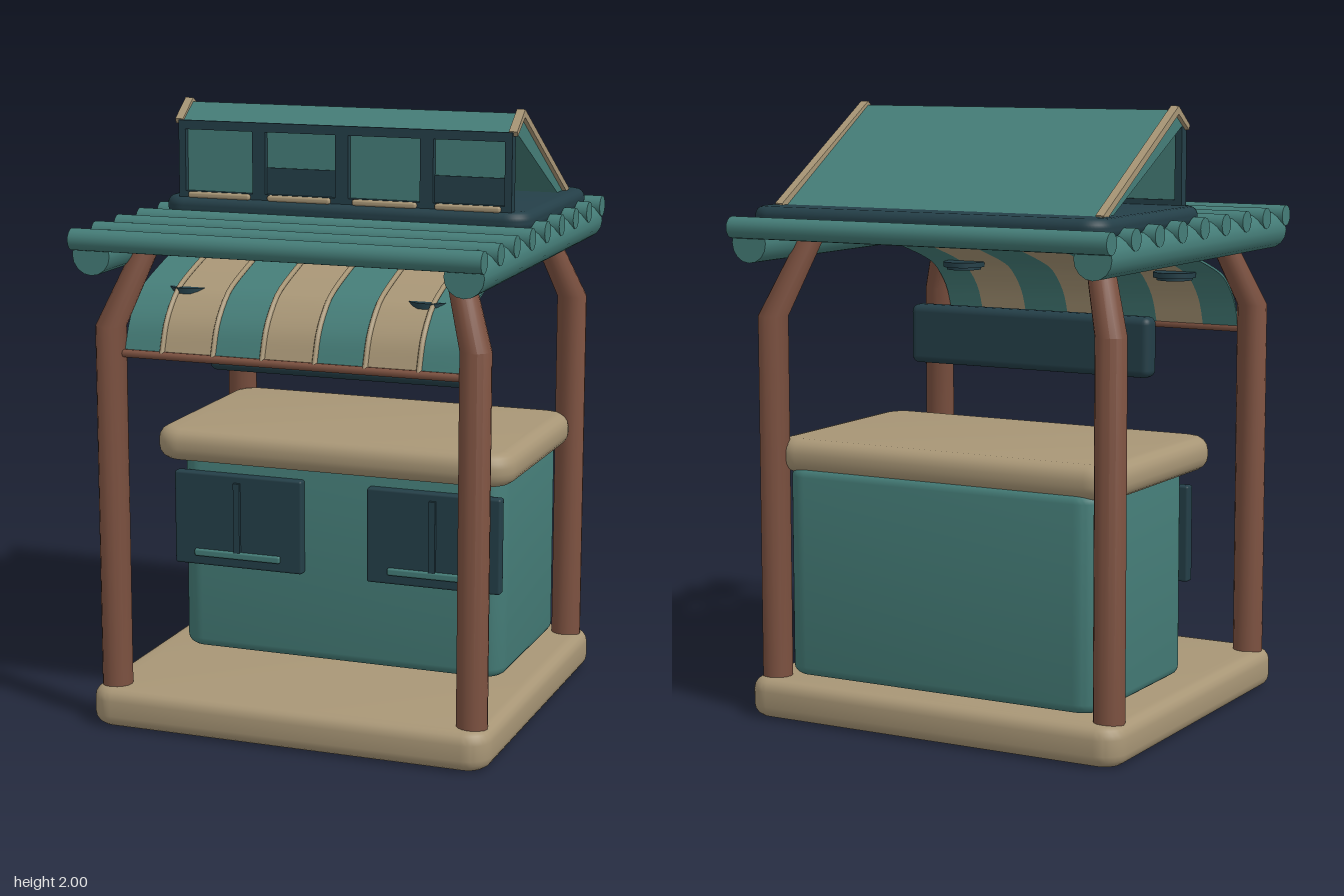
import * as THREE from 'three';
import { toCreasedNormals } from 'three/addons/utils/BufferGeometryUtils.js';
import { RoundedBoxGeometry } from 'three/addons/geometries/RoundedBoxGeometry.js';

const paint = (name, color) => Object.assign(new THREE.MeshStandardMaterial({ color }), { name });

export function createModel() {
  const model = new THREE.Group();
  model.name = 'marketKiosk';
  const teal = paint('teal', 0x457d78);
  const dark = paint('darkTeal', 0x243f48);
  const tan = paint('tan', 0xa89676);
  const brown = paint('brown', 0x7c5140);

  const add = (name, geometry, material, x = 0, y = 0, z = 0) => {
    const mesh = new THREE.Mesh(geometry, material);
    mesh.name = name;
    mesh.position.set(x, y, z);
    model.add(mesh);
    return mesh;
  };
  const box = (name, material, w, h, d, x, y, z) =>
    add(name, new THREE.BoxGeometry(w, h, d), material, x, y, z);

  // Horizontal slab with round corners in plan and rolled edges
  const slab = (name, material, halfX, z0, z1, y0, y1, corner, bevel) => {
    const w = halfX, d = (z1 - z0) / 2, r = corner;
    const s = new THREE.Shape();
    s.absarc(w - r, d - r, r, 0, Math.PI / 2);
    s.absarc(r - w, d - r, r, Math.PI / 2, Math.PI);
    s.absarc(r - w, r - d, r, Math.PI, Math.PI * 1.5);
    s.absarc(w - r, r - d, r, Math.PI * 1.5, Math.PI * 2);
    const g = new THREE.ExtrudeGeometry(s, {
      depth: y1 - y0 - 2 * bevel, curveSegments: 6,
      bevelSize: bevel, bevelThickness: bevel, bevelOffset: -bevel, bevelSegments: 4,
    });
    g.rotateX(-Math.PI / 2);
    add(name, toCreasedNormals(g, 0.7), material, 0, y0 + bevel, (z0 + z1) / 2);
  };

  // Side profile of [z, y] points, stretched from x0 to x1
  const profile = (name, material, points, x0, x1) => {
    const s = new THREE.Shape(points.map(([z, y]) => new THREE.Vector2(z, y)));
    const g = new THREE.ExtrudeGeometry(s, { depth: x1 - x0, bevelEnabled: false });
    g.rotateY(-Math.PI / 2);
    add(name, toCreasedNormals(g, 0.6), material, x1);
  };

  // Floor and counter
  slab('floor', tan, 0.68, -0.625, 0.62, 0, 0.13, 0.08, 0.04);
  slab('counterBody', teal, 0.57, -0.55, 0.115, 0.14, 0.83, 0.08, 0.03);
  slab('counterTop', tan, 0.625, -0.55, 0.23, 0.81, 0.92, 0.1, 0.045);

  // Counter front panels with a divider and a handle
  for (const s of [-1, 1]) {
    add('counterPanel', new RoundedBoxGeometry(0.46, 0.32, 0.04, 2, 0.008), dark, s * 0.345, 0.6, 0.125);
    box('panelDivider', dark, 0.022, 0.24, 0.014, s * 0.345, 0.615, 0.15);
    add('panelHandle', new RoundedBoxGeometry(0.31, 0.025, 0.016, 2, 0.007), teal, s * 0.345, 0.485, 0.15);
  }

  // Posts, leaning inward above the bend
  for (const sx of [-1, 1]) for (const sz of [-1, 1]) {
    const g = new THREE.CylinderGeometry(0.05, 0.05, 2, 16, 2);
    const p = g.attributes.position;
    for (let i = 0; i < p.count; i++) {
      const row = Math.round(p.getY(i)) + 1;
      p.setY(i, [0.11, 1.32, 1.57][row]);
      if (row === 2) {
        p.setX(i, p.getX(i) * 0.85 - sx * 0.09);
        p.setZ(i, p.getZ(i) * 0.9 - sz * 0.09);
      }
    }
    g.computeVertexNormals();
    add('post', toCreasedNormals(g, 0.6), brown, sx * 0.61, 0, sz * 0.533);
  }

  // Roof beams and slats
  for (const s of [-1, 1]) {
    const beam = new THREE.CylinderGeometry(0.064, 0.064, 1.325, 16).rotateX(Math.PI / 2);
    add('roofBeam', beam, teal, s * 0.612, 1.564, 0);
  }
  for (let i = 0; i < 9; i++) {
    const slat = new THREE.CylinderGeometry(0.035, 0.035, 1.35, 16).rotateZ(Math.PI / 2);
    add('roofSlat', slat, teal, 0, 1.613, 0.663 - i * 0.1657);
  }

  // Roof vent: curb, window wall and sloping lid
  slab('ventCurb', dark, 0.635, -0.645, 0.092, 1.615, 1.68, 0.08, 0.028);
  box('ventPane', teal, 1.12, 0.24, 0.008, 0, 1.8, 0.045);
  for (const y of [1.683, 1.917]) box('ventRail', dark, 1.15, 0.03, 0.036, 0, y, 0.052);
  for (let i = -2; i <= 2; i++) {
    const edge = Math.abs(i) === 2;
    box('ventMullion', dark, edge ? 0.024 : 0.045, 0.25, 0.036, edge ? i * 0.2815 : i * 0.29, 1.805, 0.052);
  }
  for (const x of [-0.43, -0.148, 0.148, 0.43]) {
    add('windowSill', new RoundedBoxGeometry(0.22, 0.02, 0.026, 2, 0.008), tan, x, 1.687, 0.07);
  }
  for (const x of [-0.148, 0.43]) box('windowShade', dark, 0.25, 0.1, 0.006, x, 1.735, 0.051);
  profile('ventLid', teal, [[0.06, 1.93], [-0.02, 1.985], [-0.53, 1.67], [-0.47, 1.67], [0.03, 1.93]], -0.575, 0.575);
  for (const s of [-1, 1]) {
    profile('lidTrim', tan, [[0.065, 1.935], [-0.02, 1.998], [-0.545, 1.685], [-0.53, 1.668], [-0.02, 1.972], [0.058, 1.92]],
      s * 0.575 - 0.014, s * 0.575 + 0.014);
  }

  // Striped awning
  const curve = new THREE.CatmullRomCurve3(
    [[0.54, 1.235], [0.5, 1.335], [0.43, 1.41], [0.385, 1.437], [0.2, 1.5], [0.06, 1.54]]
      .map(([z, y]) => new THREE.Vector3(0, y, z)));
  const line = curve.getPoints(18);
  const section = [
    ...line.map((p) => [p.z, p.y]),
    ...line.slice().reverse().map((p) => [p.z - 0.004, p.y - 0.007]),
  ];
  const edges = [-0.56, -0.43, -0.255, -0.088, 0.088, 0.255, 0.43, 0.56];
  for (let i = 0; i < 7; i++) {
    profile('awningStripe', i % 2 ? tan : teal, section, edges[i], edges[i + 1]);
  }
  for (const x of edges.slice(1, 7)) {
    add('awningRib', new THREE.TubeGeometry(curve, 18, 0.009, 6), tan, x, 0.003, 0.002);
  }
  add('awningRail', new THREE.CylinderGeometry(0.013, 0.013, 1.14, 10).rotateZ(Math.PI / 2), brown, 0, 1.235, 0.54);

  // Lamps under the awning
  for (const s of [-1, 1]) {
    add('lampShade', new THREE.CylinderGeometry(0.072, 0.072, 0.018, 20), dark, s * 0.405, 1.426, 0.352);
    add('lampRim', new THREE.CylinderGeometry(0.06, 0.06, 0.012, 20), dark, s * 0.405, 1.414, 0.352);
  }

  // Hanging board with small knobs
  add('hangingBoard', new RoundedBoxGeometry(0.9, 0.2, 0.074, 3, 0.025), dark, 0, 1.21, 0.096);
  for (const x of [-0.2, 0.025, 0.25]) {
    const knob = add('boardKnob', new THREE.SphereGeometry(0.02, 12, 8), tan, x, 1.225, 0.145);
    knob.scale.x = 1.7;
  }
  return model;
}
